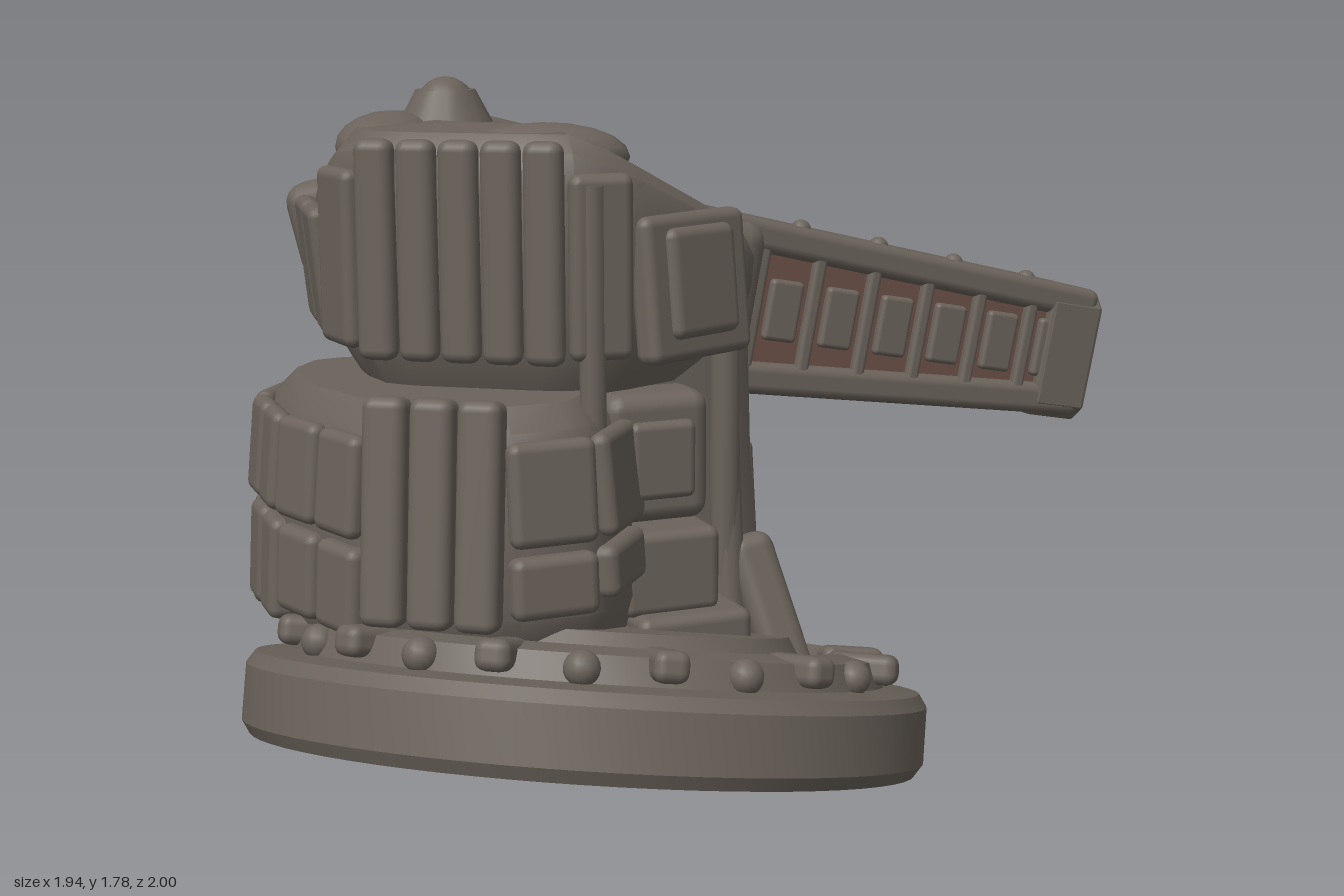
import * as THREE from 'three';
import { toCreasedNormals } from 'three/addons/utils/BufferGeometryUtils.js';
import { RoundedBoxGeometry } from 'three/addons/geometries/RoundedBoxGeometry.js';

const metal = new THREE.MeshStandardMaterial({ color: 0x6b635b });
const dark = new THREE.MeshStandardMaterial({ color: 0x4b4540 });
const rust = new THREE.MeshStandardMaterial({ color: 0x6b5048 });

// Turning axis and heading of the barrel
const AXIS = [-0.14, -0.09], YAW = 0.66;

function add(parent, name, geo, x = 0, y = 0, z = 0, mat = metal) {
  const m = new THREE.Mesh(geo, mat);
  m.name = name;
  m.position.set(x, y, z);
  parent.add(m);
  return m;
}

function addGroup(parent, name, x = 0, y = 0, z = 0) {
  const g = new THREE.Group();
  g.name = name;
  g.position.set(x, y, z);
  parent.add(g);
  return g;
}

const block = (w, h, d, r = 0.025) => new RoundedBoxGeometry(w, h, d, 2, Math.min(r, w / 2.1, h / 2.1, d / 2.1));
const ball = r => new THREE.SphereGeometry(r, 16, 10);

// Height to raise low points by, so that feet follow the tilted deck
const deckLift = (y, z) => 0.27 * z * Math.max(0, (0.7 - y) / 0.36);

// Cut the corners of a plan outline so that edges read as worn
function soften(poly, t = 0.15) {
  return poly.flatMap(([x, z], i) => {
    const [nx, nz] = poly[(i + 1) % poly.length];
    return [[x + (nx - x) * t, z + (nz - z) * t], [nx + (x - nx) * t, nz + (z - nz) * t]];
  });
}

// Stack a plan outline (running from +x to +z) through levels [height, scale]; lift moves points up by a rule
function loft(outline, levels, [cx, cz], lift) {
  const poly = soften(outline), n = poly.length, pos = [], idx = [];
  for (const [y, s] of levels) {
    for (const [x, z] of [...poly, [cx, cz]]) {
      const px = cx + (x - cx) * s, pz = cz + (z - cz) * s;
      pos.push(px, y + lift(px, y, pz), pz);
    }
  }
  const s = n + 1, top = (levels.length - 1) * s;
  for (let i = 0; i < n; i++) {
    const j = (i + 1) % n;
    for (let k = 0; k < top; k += s) idx.push(k + i, k + s + i, k + j, k + j, k + s + i, k + s + j);
    idx.push(n, i, j, top + n, top + j, top + i);
  }
  const g = new THREE.BufferGeometry();
  g.setAttribute('position', new THREE.Float32BufferAttribute(pos, 3));
  g.setIndex(idx);
  return toCreasedNormals(g, 0.6);
}

// Row of raised plates along one edge of a plan outline, leaning in at the top
function clad(parent, name, [ax, az], [bx, bz], count, y0, y1, { depth = 0.05, fill = 0.92, lean = 0 } = {}) {
  const w = Math.hypot(bx - ax, bz - az) / count;
  for (let i = 0; i < count; i++) {
    const t = (i + 0.5) / count;
    const m = add(parent, name, block(w * fill, y1 - y0, depth), ax + (bx - ax) * t, (y0 + y1) / 2, az + (bz - az) * t);
    m.rotation.set(-lean, Math.atan2(bz - az, ax - bx), 0, 'YXZ');
  }
}

function buildBase(base) {
  const profile = [[0, 0], [0.785, 0], [0.805, 0.03], [0.805, 0.16], [0.785, 0.19], [0.7, 0.2], [0.68, 0.26],
    [0.61, 0.275], [0.58, 0.25], [0.5, 0.25], [0.47, 0.3], [0, 0.31]].map(p => new THREE.Vector2(...p));
  add(base, 'baseDisc', toCreasedNormals(new THREE.LatheGeometry(profile, 64), 0.5));
  // Clamps and bolts around the deck
  for (let i = 0; i < 12; i++) {
    const a = (i / 12) * Math.PI * 2, b = a + Math.PI / 12;
    add(base, 'deckClamp', block(0.16, 0.07, 0.08), Math.cos(a) * 0.66, 0.245, -Math.sin(a) * 0.66).rotation.y = a;
    add(base, 'deckBolt', ball(0.04), Math.cos(b) * 0.69, 0.23, -Math.sin(b) * 0.69);
  }
}

// Upright column, struts and lockers, lined up with the barrel
function buildColumn(t) {
  const plan = [[0.29, 0.2], [0.18, 0.3], [-0.3, 0.34], [-0.34, -0.28], [0.12, -0.27], [0.29, -0.18]];
  const lift = (x, y, z) => deckLift(y, AXIS[1] - x * Math.sin(YAW) + z * Math.cos(YAW));
  add(t, 'column', loft(plan, [[0.32, 1.25], [0.42, 1.14], [0.52, 1.06], [0.68, 1], [0.9, 0.95], [1.25, 0.92]], [0, 0], lift));
  add(t, 'frontPlate', block(0.04, 0.42, 0.32), 0.285, 0.7, 0).rotation.z = 0.06;
  // Gusset flaring out on to the deck
  add(t, 'gusset', block(0.12, 0.4, 0.12, 0.04), 0.25, 0.52, 0.33).rotation.set(-0.35, 0, 0.2);
  add(t, 'sideBox', block(0.25, 0.3, 0.15, 0.04), -0.07, 0.95, 0.36);
  add(t, 'sideBoxLid', block(0.16, 0.18, 0.04), -0.07, 0.95, 0.44);
  add(t, 'lowerLocker', block(0.24, 0.2, 0.16), -0.04, 0.68, 0.36);
  add(t, 'lowerStep', block(0.28, 0.22, 0.18), 0, 0.48, 0.4);
  for (const s of [-1, 1]) {
    add(t, 'strut', new THREE.CylinderGeometry(0.03, 0.045, 0.85, 12), 0.16, 0.75, s * 0.29).rotation.x = -s * 0.06;
  }
  add(t, 'foot', new THREE.CylinderGeometry(0.045, 0.06, 0.26, 12), 0.2, 0.4, -0.3).rotation.x = 0.15;
  // Trunnion hub, then a tapering armour plate that ends in a bracket
  add(t, 'trunnionHub', new THREE.CylinderGeometry(0.09, 0.11, 0.1, 20), 0.13, 1.12, -0.32).rotation.x = -Math.PI / 2;
  add(t, 'trunnionCap', ball(0.055), 0.13, 1.12, -0.37);
  const plate = new THREE.Shape([[-0.02, 1.38], [-0.12, 1.45], [-0.4, 1.45], [-0.48, 1.36], [-0.46, 1.12], [-0.17, 0.8], [0.09, 0.76], [0.08, 1.1]]
    .map(p => new THREE.Vector2(...p)));
  const plateGeo = new THREE.ExtrudeGeometry(plate, { depth: 0.14, bevelSize: 0.03, bevelThickness: 0.03, bevelSegments: 3 });
  add(t, 'armourPlate', plateGeo, 0, 0, -0.4);
  add(t, 'plateBracket', block(0.22, 0.18, 0.14, 0.05), -0.02, 0.77, -0.37);
  add(t, 'rearLocker', block(0.2, 0.24, 0.12), -0.08, 0.5, -0.29);
}

// Rounded magazine standing behind the column
function buildMagazine(t) {
  const plan = [[0.01, 0.3], [0, 0.54], [-0.17, 0.68], [-0.49, 0.69], [-0.77, 0.49], [-0.93, 0.27], [-0.93, 0.09], [-0.56, -0.15], [-0.1, 0]];
  const levels = [[0.34, 0.86], [0.5, 0.97], [0.62, 1.02], [0.98, 0.96], [1.06, 0.91], [1.11, 0.8]];
  add(t, 'magazine', loft(plan, levels, [-0.45, 0.25], (x, y, z) => deckLift(y, z)));
  const ribs = { depth: 0.08, lean: 0.12 };
  clad(t, 'magazineRib', plan[2], plan[3], 3, 0.64, 1.14, ribs);
  const rows = [[0, 1, 1, 0.68], [1, 2, 1, 0.66], [3, 4, 2, 0.6], [4, 5, 2, 0.56], [5, 6, 1, 0.52], [6, 7, 3, 0.48]];
  for (const [a, b, n, bottom] of rows) {
    clad(t, 'magazinePlate', plan[a], plan[b], n, bottom, 0.8, { depth: 0.07, lean: 0.06 });
    clad(t, 'magazinePlate', plan[a], plan[b], n, 0.82, 1.05, { lean: 0.1 });
  }
}

function buildHead(t) {
  const plan = [[0.2, 0.04], [0.03, 0.36], [-0.1, 0.45], [-0.58, 0.47], [-0.71, 0.34], [-0.89, 0.02], [-0.88, -0.1],
    [-0.72, -0.21], [-0.45, -0.4], [-0.14, -0.43], [0.1, -0.3], [0.2, -0.12]];
  // The roof falls away towards the barrel and at the shoulder
  const fall = (x, y, z) => {
    const along = (x - AXIS[0]) * Math.cos(YAW) - (z - AXIS[1]) * Math.sin(YAW);
    const drop = 0.5 * Math.max(0, along + 0.25) + 0.55 * Math.max(0, -x - 0.65);
    return -drop * Math.max(0, (y - 1.2) / 0.48);
  };
  const levels = [[1.1, 0.82], [1.2, 0.93], [1.4, 0.98], [1.56, 0.99], [1.64, 0.95], [1.68, 0.86], [1.69, 0.45]];
  add(t, 'head', loft(plan, levels, [-0.33, 0.02], fall));
  clad(t, 'rearRib', plan[2], plan[3], 5, 1.18, 1.67, { depth: 0.06 });
  clad(t, 'cornerPlate', plan[3], plan[4], 1, 1.2, 1.6);
  clad(t, 'sidePlate', plan[4], plan[5], 2, 1.2, 1.5, { lean: -0.1 });
  add(t, 'sideBox', block(0.2, 0.24, 0.2, 0.05), -0.83, 1.42, -0.03).rotation.z = 0.25;
  // Cheek with a raised hatch, and upright pipes beside it
  clad(t, 'cheekPlate', plan[0], plan[1], 1, 1.17, 1.5, { depth: 0.07, lean: 0.1 });
  clad(t, 'cheekHatch', plan[0], plan[1], 1, 1.22, 1.47, { depth: 0.11, fill: 0.6, lean: 0.1 });
  clad(t, 'cheekCornerPlate', plan[1], plan[2], 1, 1.19, 1.6);
  add(t, 'cornerPipe', new THREE.CylinderGeometry(0.03, 0.03, 0.95, 12), -0.05, 1.1, 0.42);
  add(t, 'sidePipe', new THREE.CylinderGeometry(0.035, 0.035, 1.0, 12), 0.16, 0.9, 0.05);

  // Roof humps and cap
  for (const [x, y, z, sx, sz, turn] of [[-0.2, 1.62, 0.3, 0.2, 0.1, 0.5], [-0.62, 1.63, 0.15, 0.12, 0.18, 0], [-0.4, 1.52, -0.22, 0.2, 0.11, 0.6]]) {
    const hump = add(t, 'roofHump', ball(1), x, y, z);
    hump.scale.set(sx, 0.08, sz);
    hump.rotation.y = turn;
  }
  add(t, 'roofCap', new THREE.CylinderGeometry(0.07, 0.15, 0.15, 16), -0.52, 1.68, 0.05);
  add(t, 'roofKnob', ball(0.07), -0.52, 1.715, 0.05);
}

function buildBarrel(barrel) {
  // Core whose height tapers towards the muzzle
  const core = new THREE.BoxGeometry(1.2, 1, 0.28);
  core.translate(0.55, 0, 0);
  const p = core.attributes.position;
  for (let i = 0; i < p.count; i++) p.setY(i, p.getY(i) * (0.43 - 0.1 * p.getX(i)));
  core.computeVertexNormals();
  add(barrel, 'barrelCore', core, 0, 0, 0, rust);
  for (const s of [-1, 1]) {
    // Long top and bottom slabs leave a recessed band at each side
    add(barrel, 'barrelSlab', block(1.24, 0.08, 0.33), 0.65, s * 0.155, 0).rotation.z = -s * 0.05;
    for (let i = 0; i < 6; i++) {
      const x = 0.3 + i * 0.155;
      add(barrel, 'barrelRib', block(0.035, 0.33 - 0.1 * (x - 0.3), 0.05, 0.012), x, 0, s * 0.135);
      add(barrel, 'barrelPanel', block(0.09, 0.15, 0.04, 0.012), x + 0.078, 0, s * 0.138);
    }
  }
  for (let i = 0; i < 4; i++) add(barrel, 'roofRivet', ball(0.025), 0.4 + i * 0.22, 0.2 - i * 0.012, 0.12);
  // Square muzzle frame with a split opening
  const rect = (S, w, h) => {
    const r = new S();
    r.moveTo(-w, -h + 0.03).lineTo(-w + 0.03, -h).lineTo(w - 0.03, -h).lineTo(w, -h + 0.03);
    r.lineTo(w, h - 0.03).lineTo(w - 0.03, h).lineTo(-w + 0.03, h).lineTo(-w, h - 0.03).closePath();
    return r;
  };
  const frame = rect(THREE.Shape, 0.155, 0.155);
  frame.holes.push(rect(THREE.Path, 0.105, 0.1));
  const g = new THREE.ExtrudeGeometry(frame, { depth: 0.13, bevelSize: 0.012, bevelThickness: 0.012, bevelSegments: 2 });
  add(barrel, 'muzzleFrame', g, 1.14, -0.01, 0).rotation.y = Math.PI / 2;
  add(barrel, 'muzzleBack', new THREE.BoxGeometry(0.04, 0.22, 0.22), 1.19, -0.01, 0, dark);
  add(barrel, 'muzzleDivider', new THREE.BoxGeometry(0.07, 0.21, 0.035), 1.22, -0.01, 0.01, rust);
  // Mantlet where the barrel leaves the head
  add(barrel, 'mantlet', block(0.2, 0.42, 0.38, 0.06), 0.2, 0, 0);
}

export function createModel() {
  const group = new THREE.Group();
  // Tilted disc carrying an upright turret
  const base = addGroup(group, 'base', -0.14, 0.215, 0.225);
  base.rotation.x = -0.27;
  buildBase(base);

  const turret = addGroup(group, 'turret');
  buildMagazine(turret);
  buildHead(turret);
  const mount = addGroup(turret, 'mount', AXIS[0], 0, AXIS[1]);
  mount.rotation.y = YAW;
  buildColumn(mount);
  const barrel = addGroup(mount, 'barrel', 0, 1.29, 0);
  barrel.rotation.z = -0.185;
  buildBarrel(barrel);
  return group;
}
